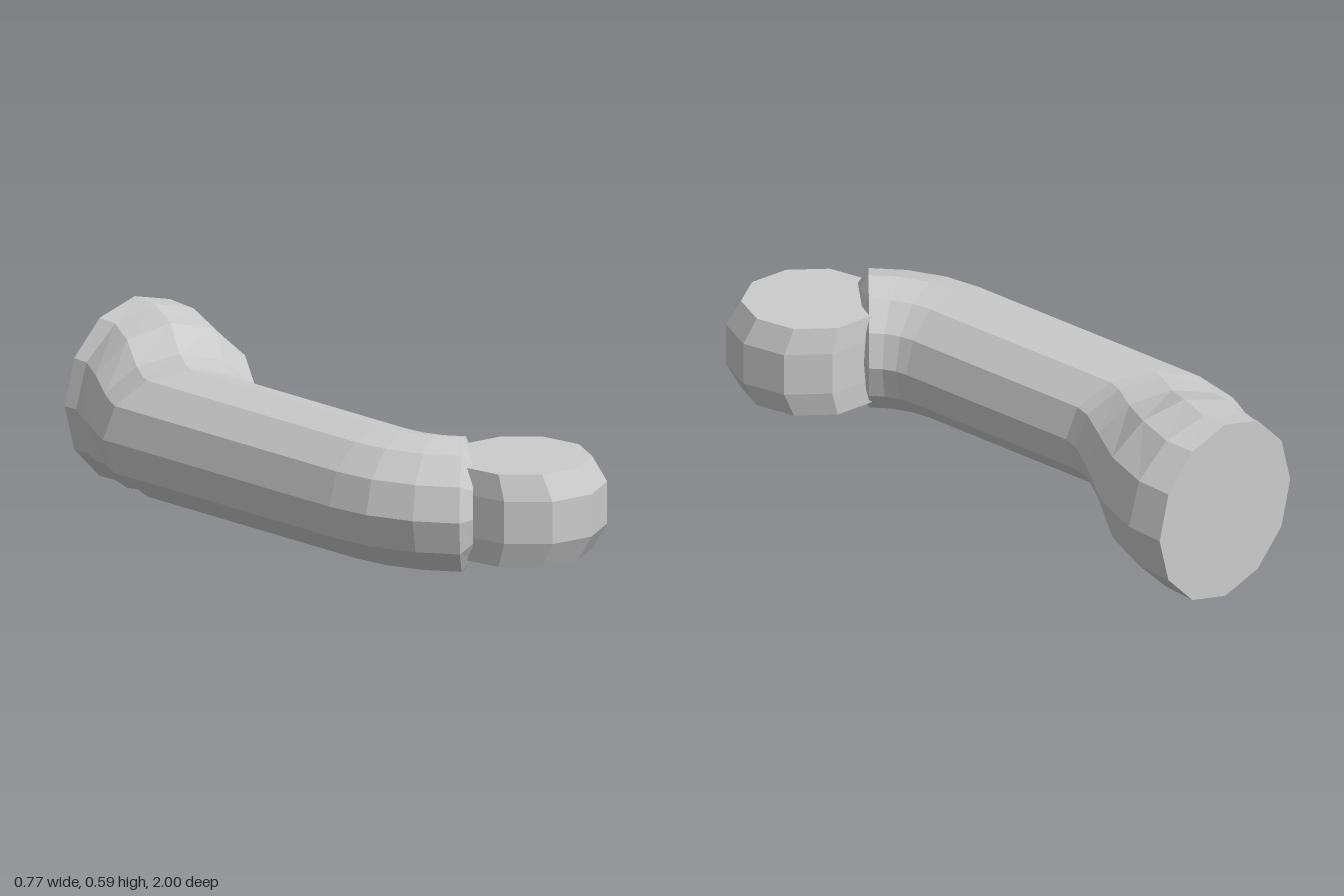
import * as THREE from 'three';

const SIDES = 12, MID = 0.295;
const material = new THREE.MeshStandardMaterial({ color: 0xcccccc, flatShading: true });

// Skin over slanted oval sections [x1, z1, x2, z2, half height], ordered from front to back.
function loft(sections) {
  const pos = [], index = [];
  for (const [x1, z1, x2, z2, h] of sections) {
    for (let i = 0; i < SIDES; i++) {
      const a = (i / SIDES) * Math.PI * 2, t = (1 + Math.cos(a)) / 2;
      pos.push(x1 + (x2 - x1) * t, MID + h * Math.sin(a), z1 + (z2 - z1) * t);
    }
  }
  const last = (sections.length - 1) * SIDES;
  for (let s = 0; s < last; s += SIDES) {
    for (let i = 0; i < SIDES; i++) {
      const j = (i + 1) % SIDES;
      index.push(s + i, s + SIDES + i, s + j, s + j, s + SIDES + i, s + SIDES + j);
    }
  }
  for (let i = 1; i < SIDES - 1; i++) {
    index.push(0, i, i + 1, last, last + i + 1, last + i);
  }
  const geo = new THREE.BufferGeometry();
  geo.setAttribute('position', new THREE.Float32BufferAttribute(pos, 3));
  geo.setIndex(index);
  geo.computeVertexNormals();
  return geo;
}

// Section of the front elbow, turned about a pivot beside the bar
function elbow(deg, outer = 0.605, inner = 0.17, h = 0.216) {
  const a = THREE.MathUtils.degToRad(deg), c = Math.cos(a), s = Math.sin(a);
  return [0.22 - outer * c, 0.37 + outer * s, 0.22 - inner * c, 0.37 + inner * s, h];
}

export function createModel() {
  const group = new THREE.Group();

  // Elbow, straight grip and flared mount in one skin
  const handle = new THREE.Mesh(loft([
    elbow(47, 0.56, 0.21, 0.17),
    elbow(43), elbow(29), elbow(14), elbow(0),
    [-0.385, -0.65, 0.05, -0.30, 0.216],
    [-0.37, -0.68, 0.07, -0.36, 0.216],
    [-0.33, -0.75, 0.15, -0.48, 0.224],
    [-0.275, -0.85, 0.29, -0.67, 0.275],
    [-0.215, -0.95, 0.37, -0.86, 0.291],
    [-0.215, -1, 0.382, -1, 0.295],
  ]), material);
  handle.name = 'handleBar';
  group.add(handle);

  // Round knob with bevelled rims
  const profile = [[0, 0.147], [0.22, 0.147], [0.242, 0.228], [0.242, 0.364], [0.22, 0.445], [0, 0.445]]
    .map(([r, y]) => new THREE.Vector2(r, y));
  const knobGeo = new THREE.LatheGeometry(profile, 10);
  knobGeo.rotateY(THREE.MathUtils.degToRad(10));
  // The flat caps sit slightly off centre, towards the elbow
  const p = knobGeo.attributes.position;
  for (let i = 0; i < p.count; i++) {
    if (Math.abs(p.getY(i) - 0.296) > 0.1) p.setXYZ(i, p.getX(i) - 0.015, p.getY(i), p.getZ(i) - 0.02);
  }
  const knob = new THREE.Mesh(knobGeo, material);
  knob.name = 'knob';
  knob.position.set(0.095, 0, 0.761);
  group.add(knob);

  return group;
}
